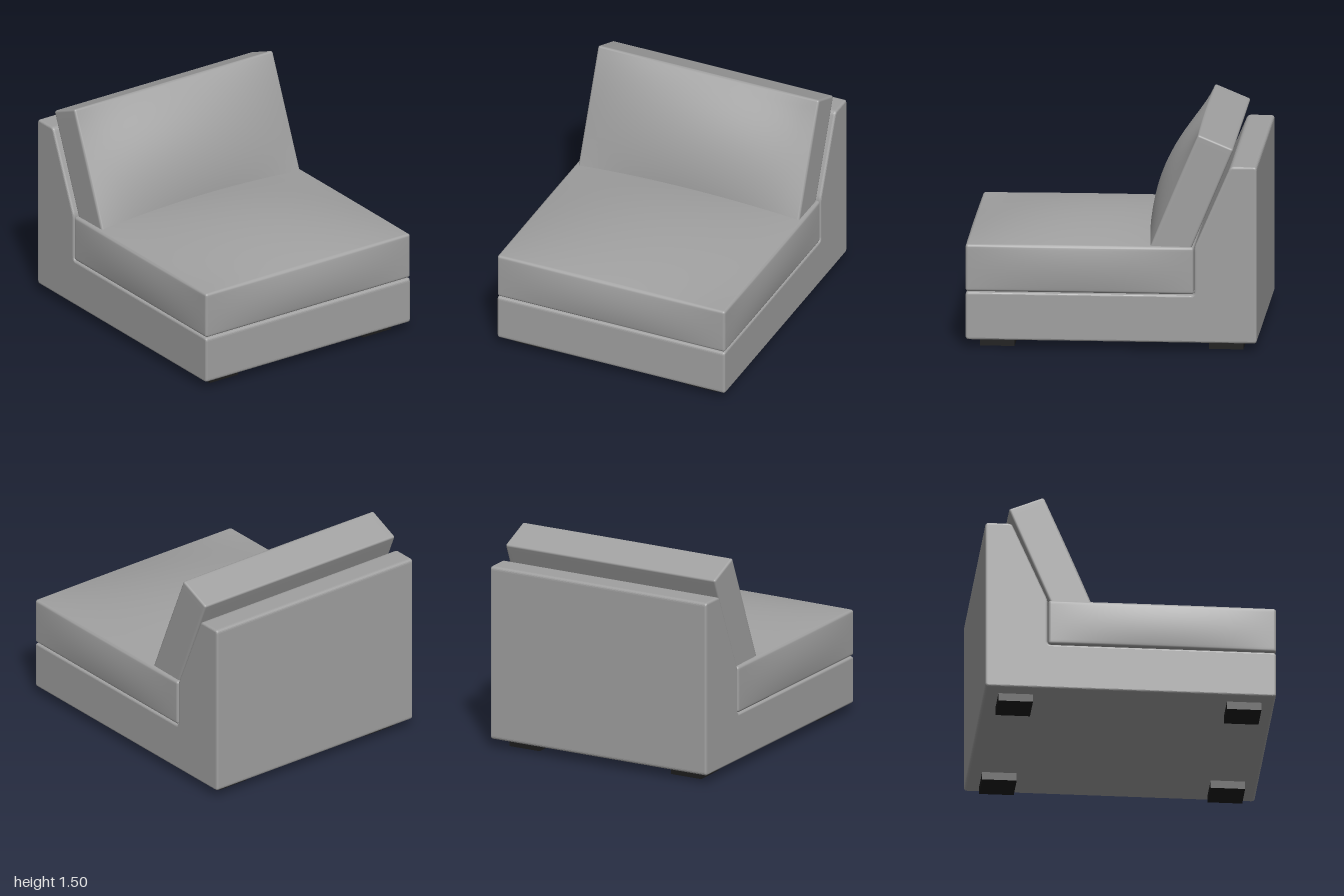
import * as THREE from 'three';
import { mergeVertices } from 'three/addons/utils/BufferGeometryUtils.js';

const fabric = new THREE.MeshStandardMaterial({ color: 0xa0a0a0 });
fabric.name = 'grey fabric';
const black = new THREE.MeshStandardMaterial({ color: 0x1c1c1c });
black.name = 'black feet';

// Closed shape through the points, with every corner rounded by r
function roundedShape(points, r) {
  const shape = new THREE.Shape();
  const pts = points.map(([a, b]) => new THREE.Vector2(a, b));
  pts.forEach((p, i) => {
    const toward = (q) => p.clone().add(q.clone().sub(p).setLength(r));
    const a = toward(pts[(i + pts.length - 1) % pts.length]);
    const b = toward(pts[(i + 1) % pts.length]);
    if (i === 0) shape.moveTo(a.x, a.y);
    else shape.lineTo(a.x, a.y);
    shape.quadraticCurveTo(p.x, p.y, b.x, b.y);
  });
  shape.closePath();
  return shape;
}

// Box with small rounded edges whose faces swell outwards.
// bulge(axis, sign) gives the swelling of each face at its middle.
function cushionGeometry(size, r, bulge) {
  const N = 26, EDGE = 3;
  const half = size.map((s) => s / 2);
  let geo = new THREE.BoxGeometry(2, 2, 2, N, N, N);
  const pos = geo.attributes.position, nor = geo.attributes.normal;
  // pack the outer grid lines into the rounded edge zone
  const remap = (u, h) => {
    const k = Math.abs(u) * N / 2, flat = N / 2 - EDGE;
    const d = k <= flat ? (k / flat) * (h - r) : h - r + ((k - flat) / EDGE) * r;
    return Math.sign(u) * d;
  };
  for (let i = 0; i < pos.count; i++) {
    const p = [pos.getX(i), pos.getY(i), pos.getZ(i)].map((u, a) => remap(u, half[a]));
    const n = [nor.getX(i), nor.getY(i), nor.getZ(i)];
    const axis = n.findIndex((c) => Math.abs(c) > 0.5);
    let weight = 1;
    p.forEach((c, a) => { if (a !== axis) weight *= 1 - (c / half[a]) ** 2; });
    const core = new THREE.Vector3(...p.map((c, a) => THREE.MathUtils.clamp(c, r - half[a], half[a] - r)));
    const v = new THREE.Vector3(...p).sub(core).setLength(r).add(core);
    v.setComponent(axis, v.getComponent(axis) + n[axis] * weight * bulge(axis, n[axis]));
    pos.setXYZ(i, v.x, v.y, v.z);
  }
  geo.deleteAttribute('normal');
  geo.deleteAttribute('uv');
  geo = mergeVertices(geo, 1e-5);
  geo.computeVertexNormals();
  return geo;
}

export function createModel() {
  const model = new THREE.Group();
  model.name = 'armlessSofaSeat';
  const add = (name, geo, mat, x, y, z) => {
    const mesh = new THREE.Mesh(geo, mat);
    mesh.name = name;
    mesh.position.set(x, y, z);
    model.add(mesh);
    return mesh;
  };

  // Base and sloped backrest as one side profile (z, y), extruded across
  const profile = [[0.98, 0.06], [0.98, 0.39], [-0.575, 0.39], [-0.575, 0.72],
    [-0.82, 1.285], [-1, 1.285], [-1, 0.06]];
  const bevel = 0.015, width = 1.7;
  const frame = new THREE.ExtrudeGeometry(roundedShape(profile, 0.025), {
    depth: width - 2 * bevel, bevelEnabled: true, bevelThickness: bevel,
    bevelSize: bevel, bevelOffset: -bevel, bevelSegments: 4, curveSegments: 5,
  });
  frame.translate(0, 0, -(width / 2 - bevel));
  frame.rotateY(-Math.PI / 2);
  add('frame', frame, fabric, 0, 0, 0);

  // Seat cushion: domed top, slightly swollen front and sides
  const seat = cushionGeometry([1.7, 0.325, 1.55], 0.018, (axis, sign) => {
    if (axis === 1) return sign > 0 ? 0.1 : 0;
    if (axis === 2) return sign > 0 ? 0.02 : 0;
    return 0.016;
  });
  add('seatCushion', seat, fabric, 0, 0.5575, 0.205);

  // Back cushion: leans against the slope, its foot sunk into the seat
  const back = cushionGeometry([1.65, 0.964, 0.26], 0.015,
    (axis, sign) => (axis === 2 && sign > 0 ? 0.112 : 0));
  add('backCushion', back, fabric, 0, 1.005, -0.535).rotation.x = -0.394;

  // Four square feet
  const foot = new THREE.BoxGeometry(0.235, 0.055, 0.235);
  for (const x of [-0.635, 0.635]) {
    for (const z of [0.77, -0.785]) add('foot', foot, black, x, 0.0275, z);
  }
  return model;
}
